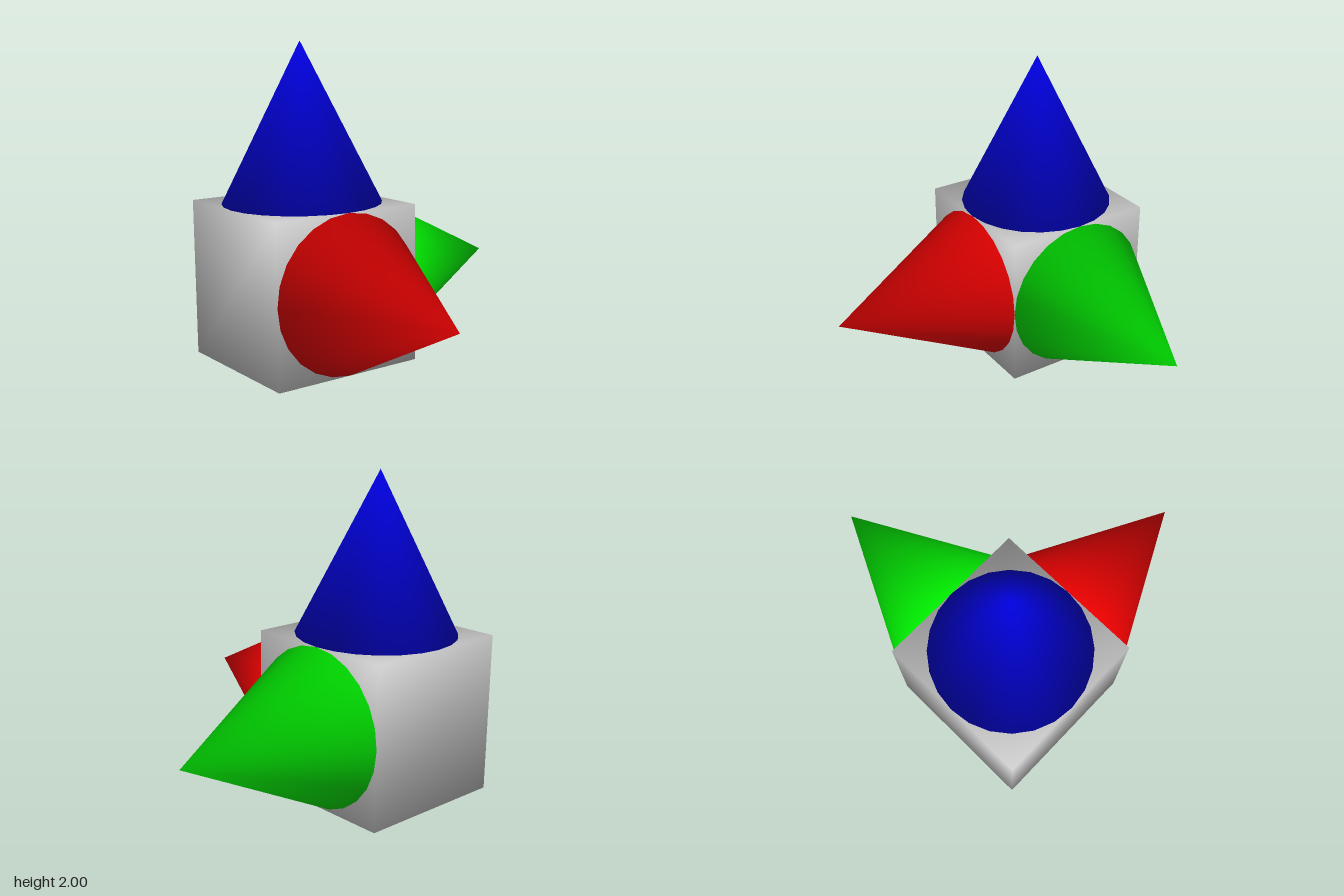
import * as THREE from 'three';

const SIZE = 1;
const CENTRE = new THREE.Vector3(-0.5, 0.5, 0.5);

// Replaces the normals by a rule taking each vertex position
function softenNormals(geometry, rule) {
  const pos = geometry.attributes.position;
  const normal = geometry.attributes.normal;
  const p = new THREE.Vector3();
  for (let i = 0; i < pos.count; i++) {
    const n = rule(p.fromBufferAttribute(pos, i)).normalize();
    normal.setXYZ(i, n.x, n.y, n.z);
  }
  return geometry;
}

// Cone pointing along +y, shaded smoothly right across its base rim
function coneGeometry() {
  const geometry = new THREE.ConeGeometry(SIZE / 2, SIZE, 24);
  return softenNormals(geometry, (p) => {
    const r = Math.hypot(p.x, p.z);
    if (r < 1e-4) return p.set(0, Math.sign(p.y), 0);
    return p.set((0.85 * p.x) / r, -0.53, (0.85 * p.z) / r);
  });
}

export function createModel() {
  const group = new THREE.Group();

  // Cube with corner normals shared by its faces
  const cube = new THREE.Mesh(
    softenNormals(new THREE.BoxGeometry(SIZE, SIZE, SIZE), (p) => p),
    new THREE.MeshStandardMaterial({ color: 0xcccccc })
  );
  cube.name = 'cube';
  cube.position.copy(CENTRE);
  group.add(cube);

  // One coloured cone on the side, the top and the back face
  const cones = [
    ['sideCone', 0xe70000, new THREE.Vector3(1, 0, 0)],
    ['topCone', 0x0000e7, new THREE.Vector3(0, 1, 0)],
    ['backCone', 0x00e700, new THREE.Vector3(0, 0, -1)],
  ];
  const up = new THREE.Vector3(0, 1, 0);
  const geometry = coneGeometry();
  for (const [name, color, axis] of cones) {
    const cone = new THREE.Mesh(geometry, new THREE.MeshStandardMaterial({ color }));
    cone.name = name;
    cone.quaternion.setFromUnitVectors(up, axis);
    cone.position.copy(CENTRE).addScaledVector(axis, SIZE);
    group.add(cone);
  }

  return group;
}
